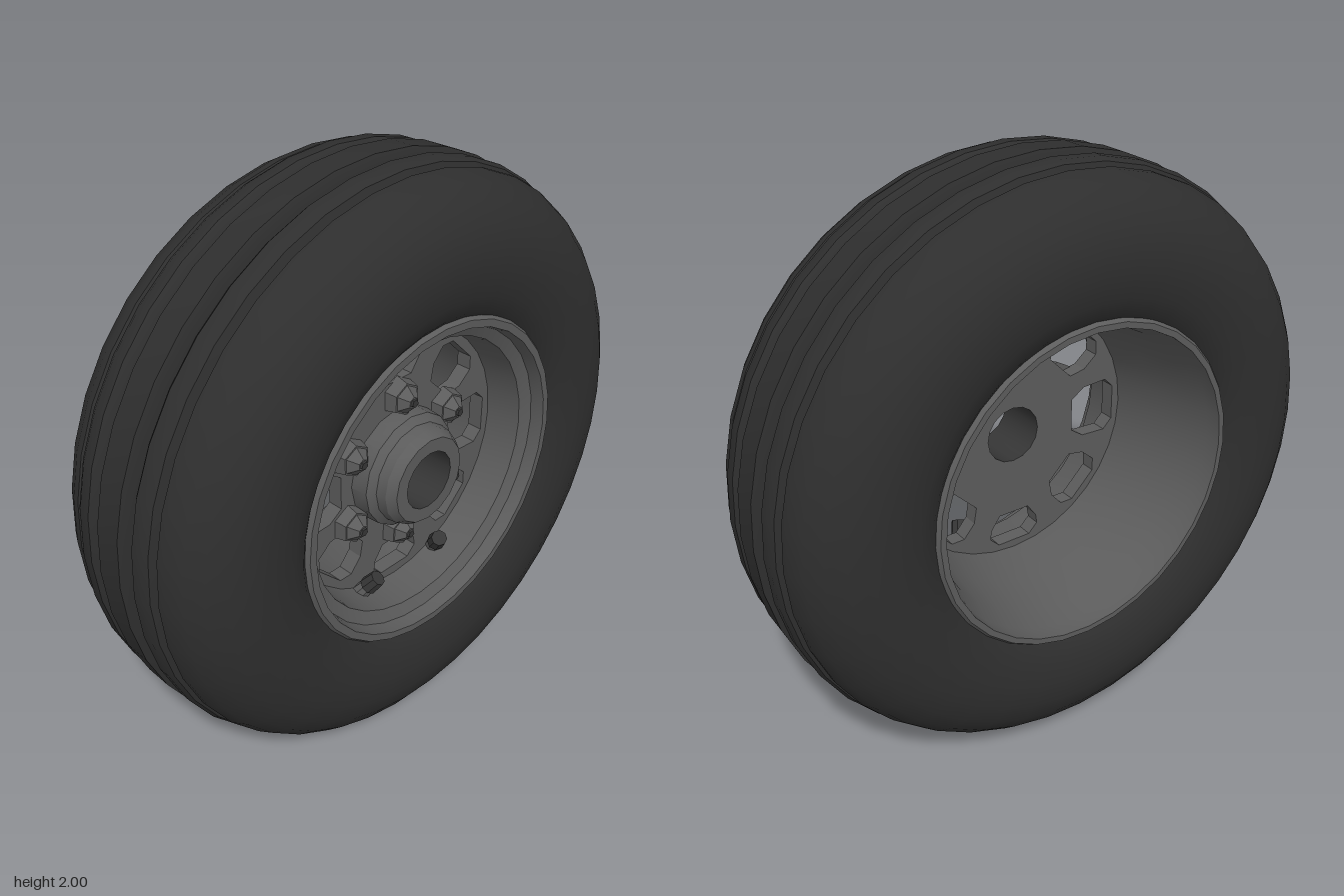
import * as THREE from 'three';
import { toCreasedNormals } from 'three/addons/utils/BufferGeometryUtils.js';

const rubber = new THREE.MeshStandardMaterial({ color: 0x2e2e2e });
rubber.name = 'rubber';
const metal = new THREE.MeshStandardMaterial({ color: 0x5c5c5c });
metal.name = 'rim metal';
const dark = new THREE.MeshStandardMaterial({ color: 0x363636 });
dark.name = 'dark metal';

// Turns [radius, z] points around the axle (z); outer side runs towards +z
function turned(name, points, material, segments, crease = 0.6) {
  const profile = points.map(([r, z]) => new THREE.Vector2(r, z));
  const geometry = new THREE.LatheGeometry(profile, segments).rotateX(Math.PI / 2);
  const mesh = new THREE.Mesh(toCreasedNormals(geometry, crease), material);
  mesh.name = name;
  return mesh;
}

// Faceted cylinder whose axis runs from one point to another
function rod(name, from, to, r0, r1, sides, material) {
  const axis = to.clone().sub(from);
  const geometry = new THREE.CylinderGeometry(r1, r0, axis.length(), sides);
  const mesh = new THREE.Mesh(toCreasedNormals(geometry, 0.4), material);
  mesh.quaternion.setFromUnitVectors(new THREE.Vector3(0, 1, 0), axis.normalize());
  mesh.position.copy(from).add(to).multiplyScalar(0.5);
  mesh.name = name;
  return mesh;
}

export function createModel() {
  const model = new THREE.Group();
  const wheel = new THREE.Group();
  wheel.name = 'wheel';
  wheel.position.y = 1;
  model.add(wheel);

  // Tyre: sidewall, round shoulder and ribs, mirrored about the middle
  const half = [
    [1.0, 0.048], [0.985, 0.056], [0.952, 0.062], [0.952, 0.078], [0.98, 0.088],
    [0.993, 0.105], [0.993, 0.145], [0.982, 0.165], [0.955, 0.176], [0.972, 0.19],
    [0.97, 0.215], [0.945, 0.265], [0.905, 0.31], [0.85, 0.347], [0.78, 0.37],
    [0.7, 0.374], [0.63, 0.362], [0.58, 0.345], [0.55, 0.32],
  ];
  const back = half.map(([r, z]) => [r, -z]).reverse();
  wheel.add(turned('tyre', [...back, ...half, back[0]], rubber, 40));

  // Rim: front lip, step, seat of the disc and deep rear barrel
  wheel.add(turned('rim', [
    [0.565, -0.33], [0.55, -0.28], [0.55, 0.28], [0.565, 0.33], [0.555, 0.345],
    [0.53, 0.345], [0.52, 0.3], [0.48, 0.28], [0.465, 0.16], [0.46, 0.1],
    [0.485, -0.05], [0.505, -0.22], [0.53, -0.29], [0.535, -0.345], [0.555, -0.345], [0.565, -0.33],
  ], metal, 32, 0.5));

  // Disc with eight windows
  const disc = new THREE.Shape().absarc(0, 0, 0.475, 0, Math.PI * 2, false);
  disc.holes.push(new THREE.Path().absarc(0, 0, 0.15, 0, Math.PI * 2, true));
  for (let i = 0; i < 8; i++) {
    const angle = i * Math.PI / 4;
    const inner = i % 2 ? 0.28 : i % 4 ? 0.31 : 0.25;
    const corners = [
      [inner, -0.06], [inner + 0.05, -0.095], [0.395, -0.1], [0.43, -0.065],
      [0.43, 0.065], [0.395, 0.1], [inner + 0.05, 0.095], [inner, 0.06],
    ];
    disc.holes.push(new THREE.Path(corners.map(([x, y]) =>
      new THREE.Vector2(x, y).rotateAround(new THREE.Vector2(), angle))));
  }
  const plate = new THREE.Mesh(
    new THREE.ExtrudeGeometry(disc, { depth: 0.055, bevelEnabled: false, curveSegments: 16 }), metal);
  plate.name = 'rimDisc';
  plate.position.z = 0.1;
  wheel.add(plate);

  // Hub with its dark bore
  wheel.add(turned('hub', [
    [0.102, 0.1], [0.19, 0.1], [0.205, 0.15], [0.2, 0.215], [0.175, 0.235],
    [0.17, 0.27], [0.15, 0.3], [0.102, 0.3],
  ], metal, 16, 0.4));
  wheel.add(turned('hubBore', [[0.102, 0.3], [0.102, 0.1]], dark, 16));

  // Six wheel nuts
  for (let i = 0; i < 6; i++) {
    const a = Math.PI / 6 + i * Math.PI / 3;
    const at = z => new THREE.Vector3(Math.cos(a) * 0.255, Math.sin(a) * 0.255, z);
    const nut = new THREE.Group();
    nut.name = 'wheelNut';
    nut.add(rod('nutBase', at(0.15), at(0.195), 0.068, 0.056, 6, metal));
    nut.add(rod('nutTip', at(0.195), at(0.225), 0.05, 0.02, 6, metal));
    nut.add(rod('stud', at(0.22), at(0.232), 0.018, 0.014, 5, dark));
    wheel.add(nut);
  }

  // Two valves leaning inwards from the rim
  for (const side of [-1, 1]) {
    const at = (r, z) => new THREE.Vector3(side * 0.39 * r, -0.92 * r, z);
    wheel.add(rod('valveStem', at(0.475, 0.17), at(0.435, 0.195), 0.03, 0.026, 8, metal));
    wheel.add(rod('valveCap', at(0.435, 0.195), at(0.39, 0.225), 0.032, 0.028, 8, dark));
  }
  return model;
}
